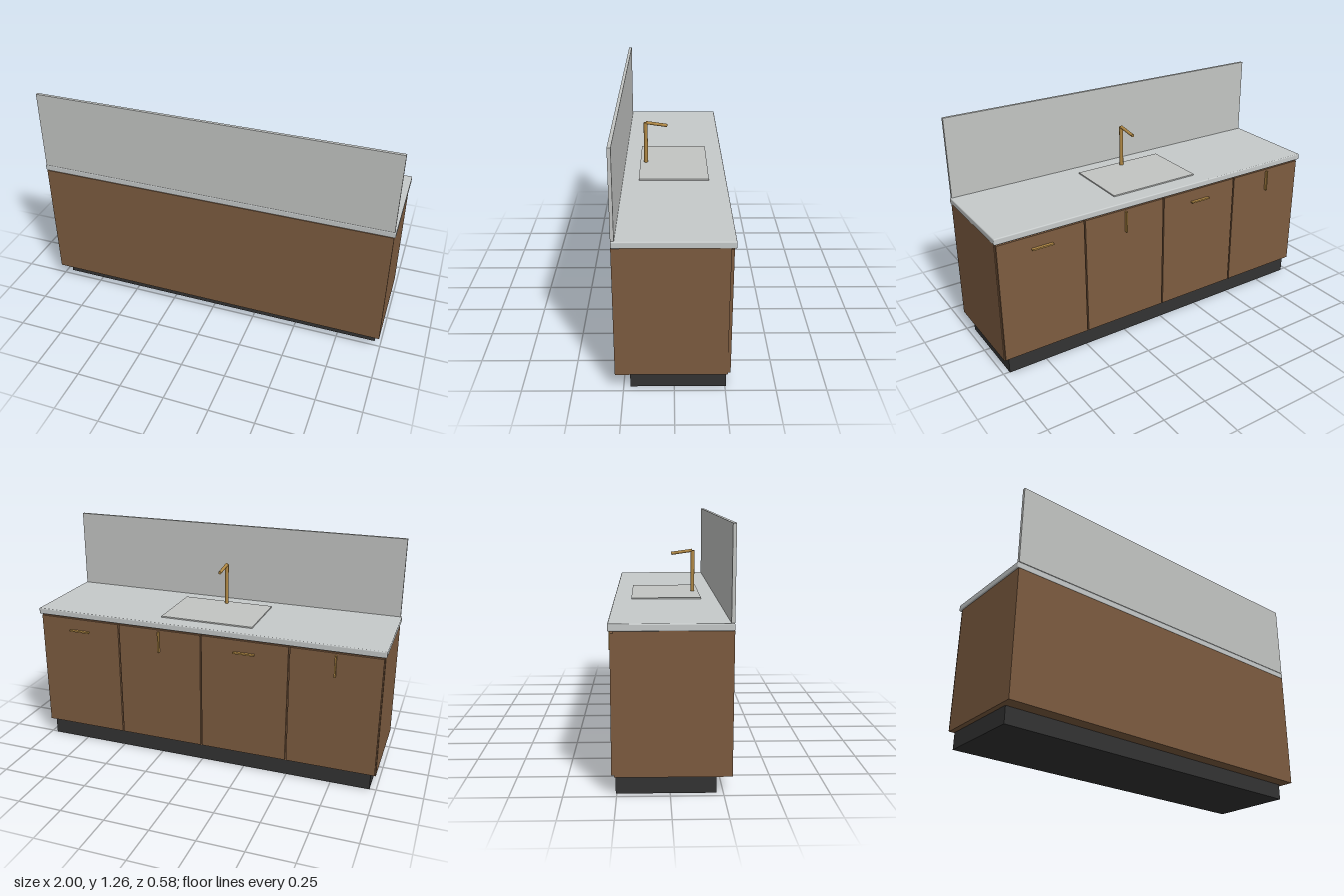
import * as THREE from 'three';
import { RoundedBoxGeometry } from 'three/addons/geometries/RoundedBoxGeometry.js';

const mat = (name, color) => {
  const m = new THREE.MeshStandardMaterial({ color });
  m.name = name;
  return m;
};

export function createModel() {
  const wood = mat('walnut brown', 0x7d5c40);
  const stone = mat('pale stone', 0xc6caca);
  const panel = mat('light grey', 0xc3c5c3);
  const dark = mat('charcoal', 0x333333);
  const brass = mat('brass', 0xb08845);

  const model = new THREE.Group();
  model.name = 'kitchenCounter';

  const add = (name, geometry, material, parent = model) => {
    const mesh = new THREE.Mesh(geometry, material);
    mesh.name = name;
    parent.add(mesh);
    return mesh;
  };
  // Box given by its minimum and maximum on each axis
  const box = (name, material, [x0, x1], [y0, y1], [z0, z1], parent, radius = 0) => {
    const size = [x1 - x0, y1 - y0, z1 - z0];
    const geometry = radius
      ? new RoundedBoxGeometry(...size, 3, radius)
      : new THREE.BoxGeometry(...size);
    const mesh = add(name, geometry, material, parent);
    mesh.position.set((x0 + x1) / 2, (y0 + y1) / 2, (z0 + z1) / 2);
    return mesh;
  };

  // Base, carcass, worktop and upright splash panel
  box('plinth', dark, [-0.965, 0.965], [0, 0.09], [-0.255, 0.217]);
  box('cabinet', wood, [-0.993, 0.993], [0.09, 0.78], [-0.26, 0.29]);
  box('worktop', stone, [-1, 1], [0.78, 0.815], [-0.284, 0.29], model, 0.006);
  box('splashPanel', panel, [-0.993, 0.993], [0.815, 1.26], [0.273, 0.29]);
  box('sinkCover', panel, [-0.266, 0.266], [0.814, 0.822], [-0.19, 0.187]);

  // Four doors with alternating upright and level handles
  const pitch = 0.496;
  for (let i = 0; i < 4; i++) {
    const x = (i - 1.5) * pitch;
    const door = new THREE.Group();
    door.name = `door${i + 1}`;
    model.add(door);
    box('doorPanel', wood, [x - 0.244, x + 0.244], [0.098, 0.77], [-0.274, -0.26], door);
    const [hw, hh] = i % 2 ? [0.06, 0.004] : [0.004, 0.06];
    box('handle', brass, [x - hw, x + hw], [0.7 - hh, 0.7 + hh], [-0.291, -0.274], door);
  }

  // Tap: round post and a slightly drooping spout
  const tap = new THREE.Group();
  tap.name = 'tap';
  model.add(tap);
  const rod = (name, from, to, radius) => {
    const a = new THREE.Vector3(...from), b = new THREE.Vector3(...to);
    const mesh = add(name, new THREE.CylinderGeometry(radius, radius, a.distanceTo(b), 20), brass, tap);
    mesh.position.copy(a).lerp(b, 0.5);
    mesh.quaternion.setFromUnitVectors(new THREE.Vector3(0, 1, 0), b.sub(a).normalize());
  };
  rod('tapPost', [0, 0.815, 0.155], [0, 1.055, 0.155], 0.011);
  rod('tapSpout', [0, 1.055, 0.153], [0, 1.038, 0.034], 0.009);

  return model;
}
